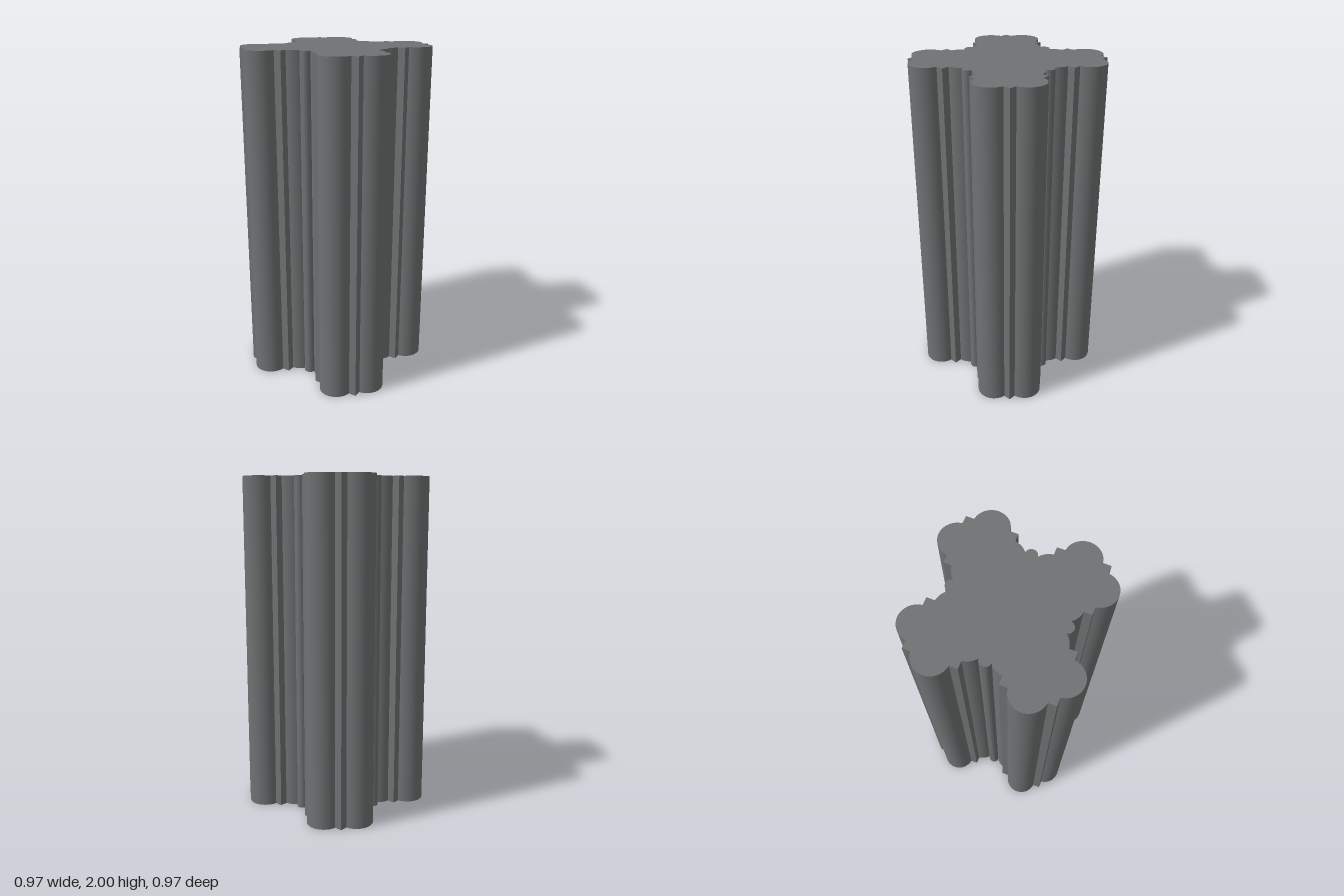
import * as THREE from 'three';
import { toCreasedNormals } from 'three/addons/utils/BufferGeometryUtils.js';

const HEIGHT = 2;
const C = 0.249;             // centre of each corner shaft
const HALF = 0.145;          // half width of its square core
const OFF = 0.134;           // offset of the round lobes from the shaft centre
const R = 0.1;               // lobe radius
const BEAD_X = 0.305, BEAD_R = 0.034; // small bead between two shafts

// Clustered pier outline: one quarter repeated four times around the centre
function pierOutline() {
  const shape = new THREE.Shape();
  const chord = Math.acos((HALF - OFF) / R);              // half sweep of an outer lobe
  const join = Math.asin((C - OFF - BEAD_R) / R);         // where an inner lobe meets the bead
  const lo = C - HALF, hi = C + HALF;
  for (let q = 0; q < 4; q++) {
    const turn = q * Math.PI / 2, c = Math.cos(turn), s = Math.sin(turn);
    const arc = (x, y, r, a, b) =>
      shape.absarc(x * c - y * s, x * s + y * c, r, a + turn, b + turn, false);
    const line = (x, y) => shape.lineTo(x * c - y * s, x * s + y * c);
    const quarter = Math.PI / 2;
    arc(BEAD_X, 0, BEAD_R, -1.5, 1.5);                            // bead
    arc(C, C - OFF, R, -join, chord - quarter);                   // inner lobe
    line(hi, lo);
    arc(C + OFF, C, R, -chord, chord);                            // outer side lobe
    line(hi, hi);
    arc(C, C + OFF, R, quarter - chord, quarter + chord);         // outer end lobe
    line(lo, hi);
    arc(C - OFF, C, R, Math.PI - chord, quarter + join);          // inner lobe
  }
  shape.closePath();
  return shape;
}

export function createModel() {
  const group = new THREE.Group();
  group.name = 'clusteredPier';
  const stone = new THREE.MeshStandardMaterial({ color: 0x6e7272 });
  stone.name = 'grey stone';

  // Straight shaft, smooth on the lobes and sharp at the corners
  const extruded = new THREE.ExtrudeGeometry(pierOutline(), {
    depth: HEIGHT, bevelEnabled: false, curveSegments: 12,
  });
  extruded.rotateX(-Math.PI / 2);
  const shaft = new THREE.Mesh(toCreasedNormals(extruded, Math.PI / 6), stone);
  shaft.name = 'pierShaft';
  group.add(shaft);
  return group;
}
